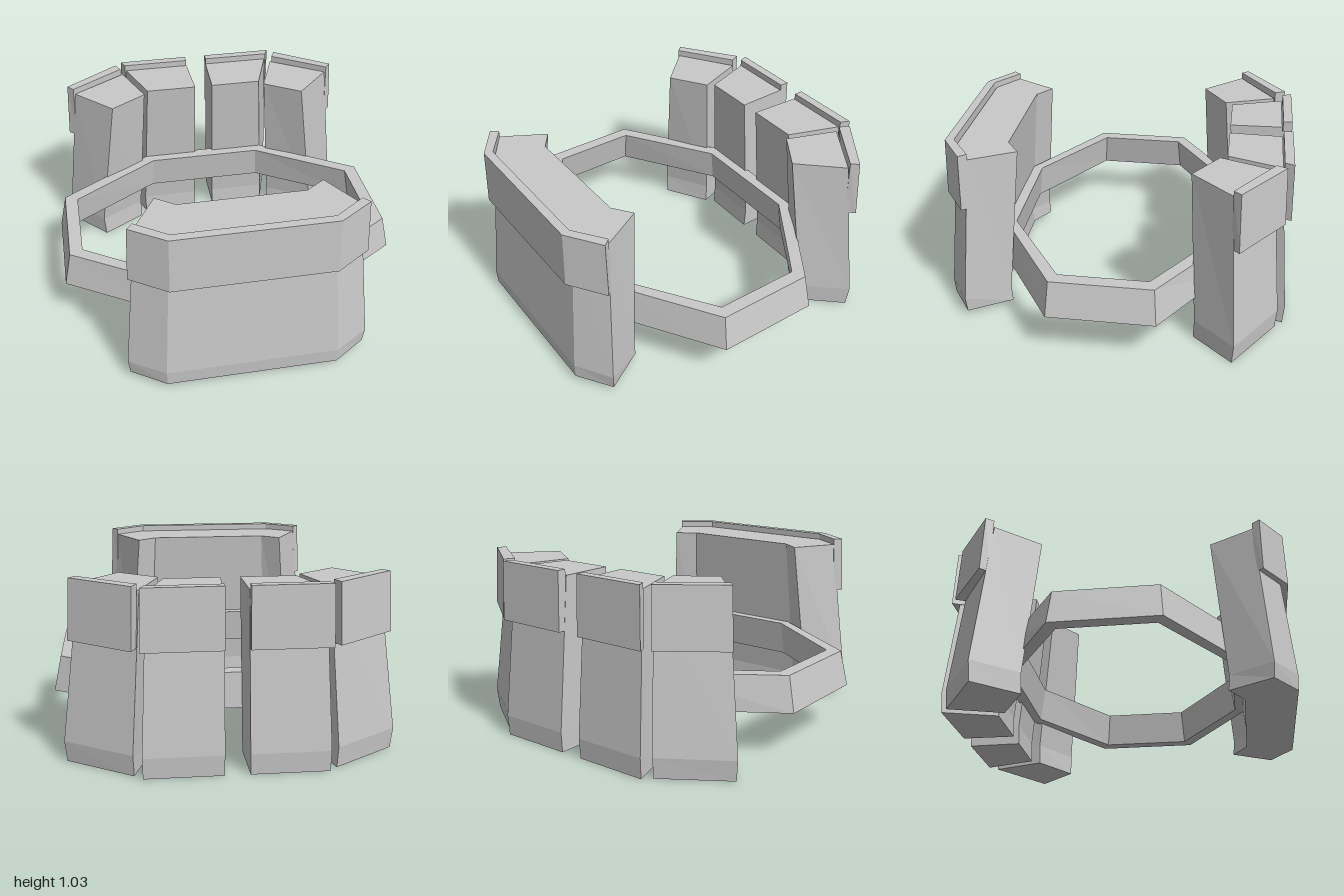
import * as THREE from 'three';

const grey = new THREE.MeshStandardMaterial({ color: 0xc8c8c8 });
grey.name = 'grey';

// Signed area of an outline of [x, z] points
const area = (p) => p.reduce((s, [x, z], i) => {
  const [x2, z2] = p[(i + 1) % p.length];
  return s + (x * z2 - x2 * z) / 2;
}, 0);

// Flat-faced skin through a stack of [height, outline] levels
function loft(name, levels, capped = true) {
  const loops = levels.map(([y, pts]) => {
    const ordered = area(pts) > 0 ? pts : [...pts].reverse();
    return ordered.map(([x, z]) => new THREE.Vector3(x, y, z));
  });
  const tris = [];
  for (let k = 0; k + 1 < loops.length; k++) {
    const lo = loops[k], hi = loops[k + 1];
    for (let i = 0; i < lo.length; i++) {
      const j = (i + 1) % lo.length;
      tris.push(lo[i], hi[i], hi[j], lo[i], hi[j], lo[j]);
    }
  }
  const cap = (loop, up) => {
    const flat = loop.map((p) => new THREE.Vector2(p.x, p.z));
    for (const t of THREE.ShapeUtils.triangulateShape(flat, [])) {
      const ccw = area(t.map((i) => [flat[i].x, flat[i].y])) > 0;
      const order = ccw === up ? [t[2], t[1], t[0]] : t;
      tris.push(...order.map((i) => loop[i]));
    }
  };
  if (capped) {
    cap(loops[0], false);
    cap(loops[loops.length - 1], true);
  }
  const geometry = new THREE.BufferGeometry().setFromPoints(tris);
  geometry.computeVertexNormals();
  const mesh = new THREE.Mesh(geometry, grey);
  mesh.name = name;
  return mesh;
}

// Complete an outline whose +x half is given, and flip an outline to -x
const flip = (pts) => pts.map(([x, z]) => [-x, z]);
const whole = (half) => [...half, ...flip(half).reverse()];

export function createModel() {
  const model = new THREE.Group();
  model.name = 'pouchBelt';

  // Octagonal belt with sloping sides
  const outerBottom = [0.27, whole([[0.38, 0.71], [1, 0.315], [1, -0.295], [0.38, -0.695]])];
  const outerTop = [0.475, whole([[0.365, 0.68], [0.957, 0.3], [0.957, -0.28], [0.365, -0.68]])];
  const innerTop = [0.475, whole([[0.35, 0.62], [0.88, 0.265], [0.88, -0.245], [0.35, -0.6]])];
  const innerBottom = [0.27, whole([[0.36, 0.645], [0.92, 0.28], [0.92, -0.26], [0.36, -0.625]])];
  model.add(loft('belt', [outerBottom, outerTop, innerTop, innerBottom, outerBottom], false));

  // Wide front pouch wrapped round the belt corners
  const front = new THREE.Group();
  front.name = 'frontPouch';
  front.add(loft('frontPouchBody', [
    [0.03, whole([[0.49, 0.995], [0.685, 0.862], [0.54, 0.62], [0.4, 0.705]])],
    [0.12, whole([[0.492, 1], [0.695, 0.868], [0.54, 0.627], [0.4, 0.712]])],
    [1, whole([[0.44, 0.92], [0.61, 0.805], [0.47, 0.555], [0.36, 0.635]])],
  ]));
  front.add(loft('frontPouchFlap', [
    [0.705, whole([[0.455, 0.99], [0.662, 0.848], [0.622, 0.805], [0.435, 0.932]])],
    [1.035, whole([[0.45, 0.98], [0.647, 0.845], [0.612, 0.803], [0.435, 0.93]])],
  ]));
  model.add(front);

  // Two slimmer back pouches on each side
  const pouches = [
    {
      name: 'backInnerPouch',
      body: [
        [0, [[0.065, -0.685], [0.41, -0.685], [0.505, -0.992], [0.07, -0.992]]],
        [0.12, [[0.062, -0.69], [0.412, -0.69], [0.508, -1], [0.068, -1]]],
        [1, [[0.055, -0.615], [0.365, -0.615], [0.47, -0.92], [0.065, -0.92]]],
      ],
      flap: [
        [0.695, [[0.067, -0.925], [0.48, -0.925], [0.508, -0.988], [0.067, -0.988]]],
        [1.035, [[0.067, -0.925], [0.478, -0.925], [0.5, -0.978], [0.067, -0.978]]],
      ],
    },
    {
      name: 'backOuterPouch',
      body: [
        [0, [[0.71, -0.482], [0.45, -0.64], [0.55, -0.948], [0.915, -0.71]]],
        [0.12, [[0.72, -0.485], [0.45, -0.645], [0.555, -0.957], [0.927, -0.717]]],
        [1, [[0.605, -0.432], [0.39, -0.575], [0.5, -0.875], [0.822, -0.662]]],
      ],
      flap: [
        [0.695, [[0.84, -0.668], [0.517, -0.885], [0.55, -0.955], [0.885, -0.712]]],
        [1.035, [[0.832, -0.662], [0.512, -0.88], [0.54, -0.94], [0.867, -0.703]]],
      ],
    },
  ];
  for (const side of ['left', 'right']) {
    const place = (levels) => levels.map(([y, pts]) => [y, side === 'left' ? pts : flip(pts)]);
    for (const { name, body, flap } of pouches) {
      const pouch = new THREE.Group();
      pouch.name = `${name}_${side}`;
      pouch.add(loft(`${name}Body`, place(body)), loft(`${name}Flap`, place(flap)));
      model.add(pouch);
    }
  }
  return model;
}
